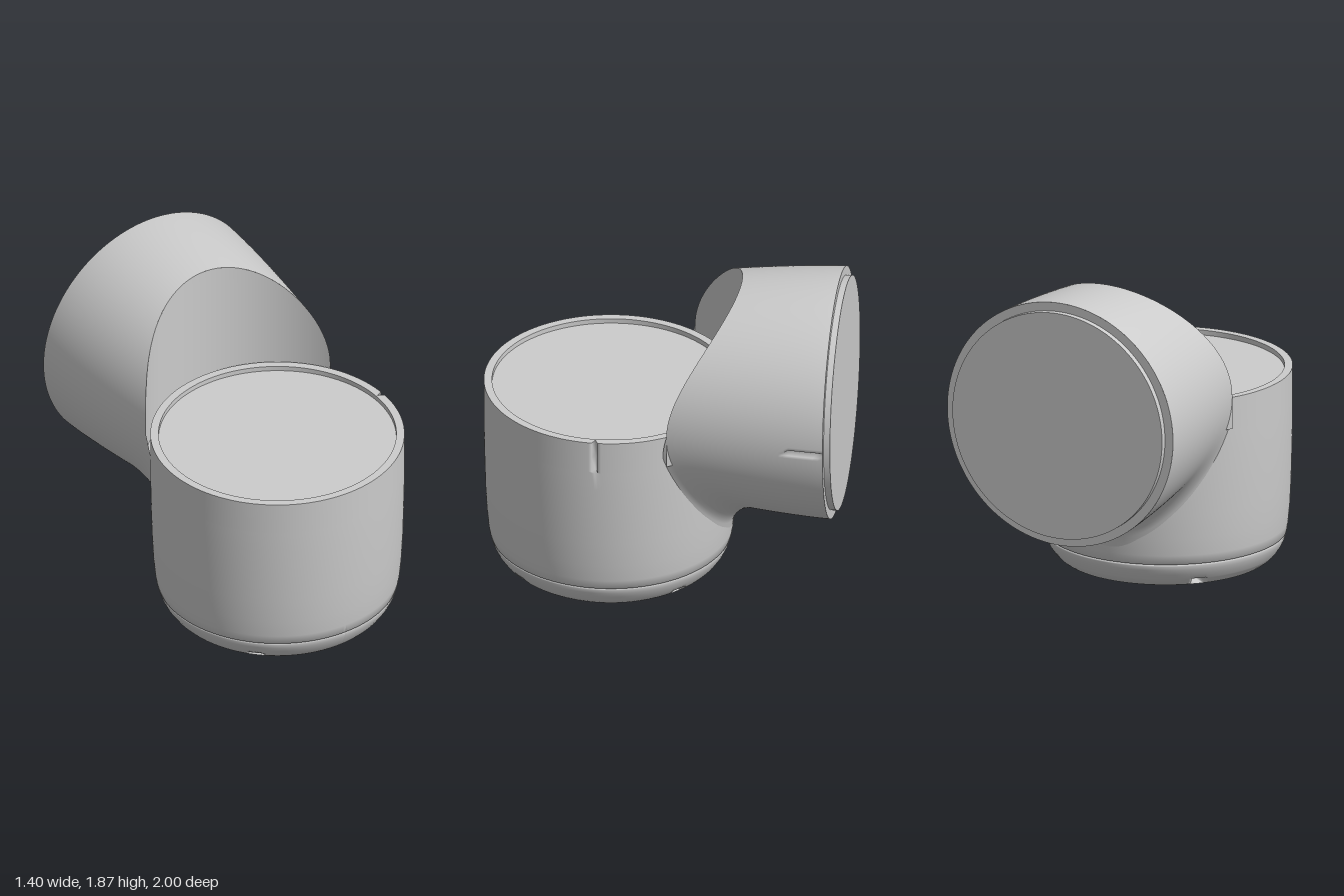
import * as THREE from 'three';
import { mergeVertices } from 'three/addons/utils/BufferGeometryUtils.js';

const CUP_Z = 0.3;        // axis of the upright cup
const BARREL_Y = 1.165;   // axis of the horizontal barrel
const BACK_Z = -0.965;    // rear rim of the barrel
const SEG = 256;

const material = new THREE.MeshStandardMaterial({ color: 0xcccccc, side: THREE.DoubleSide });

function addMesh(group, name, geometry) {
  const mesh = new THREE.Mesh(geometry, material);
  mesh.name = name;
  group.add(mesh);
  return mesh;
}

// Smooth surface from a rule fn(u, v) -> [x, y, z]
function grid(nu, nv, fn) {
  const pos = [], idx = [];
  for (let j = 0; j <= nv; j++)
    for (let i = 0; i <= nu; i++) pos.push(...fn(i / nu, j / nv));
  for (let j = 0; j < nv; j++)
    for (let i = 0; i < nu; i++) {
      const a = j * (nu + 1) + i, b = a + 1, c = a + nu + 1, d = c + 1;
      idx.push(a, b, c, b, d, c);
    }
  let geo = new THREE.BufferGeometry();
  geo.setAttribute('position', new THREE.Float32BufferAttribute(pos, 3));
  geo.setIndex(idx);
  geo = mergeVertices(geo, 1e-5);
  geo.computeVertexNormals();
  return geo;
}

// Turned part whose vertices can be pushed inward: rule(angle, y, r) -> new r
function turned(profile, rule) {
  const geo = new THREE.LatheGeometry(profile.map(([r, y]) => new THREE.Vector2(r, y)), SEG);
  if (rule) {
    const p = geo.attributes.position;
    for (let i = 0; i < p.count; i++) {
      const x = p.getX(i), z = p.getZ(i), r = Math.hypot(x, z);
      if (r < 1e-4) continue;
      const k = rule(Math.atan2(x, z), p.getY(i), r) / r;
      p.setX(i, x * k);
      p.setZ(i, z * k);
    }
    geo.computeVertexNormals();
  }
  return geo;
}

// Barrel radius shrinks gently towards the cup
const barrelRadius = z => 0.70 - 0.085 * Math.pow(Math.max(0, (z - BACK_Z) / 0.865), 1.4);

// z where the barrel at angle a meets the upright cylinder around the cup
function barrelEnd(a) {
  const s = Math.sin(a);
  const R = s >= 0 ? 0.725 : 0.725 - 0.035 * Math.min(1, -s / 0.3) - 0.02 * s * s;
  let z = -0.2;
  for (let i = 0; i < 40; i++) {
    const x = barrelRadius(z) * Math.cos(a);
    z = 0.5 * z + 0.5 * (CUP_Z - Math.sqrt(Math.max(0.01, R * R - x * x)));
  }
  return z;
}

function barrelPoint(a, v) {
  const end = barrelEnd(a), z = BACK_Z + (end - BACK_Z) * v;
  const r = barrelRadius(z), s = Math.sin(a);
  let x = r * Math.cos(a), y = BARREL_Y + r * s;
  // fillet sweeping down into the cup
  const u = THREE.MathUtils.clamp(1 - (end - z) / 0.25, 0, 1);
  if (s < 0) y -= 0.27 * s * s * (1 - Math.sqrt(1 - u * u));
  // short slit on the left side
  if (Math.abs(s) < 0.01 && x > 0 && z > -0.94 && z < -0.77) x -= 0.03;
  return [x, y, z];
}

export function createModel() {
  const model = new THREE.Group();

  // Upright cup
  const cup = new THREE.Group();
  cup.name = 'cup';
  cup.position.z = CUP_Z;
  model.add(cup);
  const notch = (a, y, r) =>
    Math.abs(a - Math.PI / 2) < 0.01 && y > 0.965 && r > 0.68 ? 0.665 : r;
  addMesh(cup, 'cupWall', turned([
    [0.645, 0.205], [0.668, 0.207], [0.676, 0.26], [0.685, 0.36], [0.692, 0.5],
    [0.697, 0.68], [0.70, 0.85], [0.70, 0.96], [0.70, 0.97], [0.70, 1.06], [0.70, 1.153],
  ], notch));
  addMesh(cup, 'cupRim', turned([[0.70, 1.153], [0.655, 1.153]], notch));
  addMesh(cup, 'cupRimInside', turned([[0.655, 1.153], [0.655, 1.12]]));
  addMesh(cup, 'cupDisc', turned([[0.655, 1.125], [0.4, 1.125], [0, 1.125]]));

  // Rounded base with four small pockets on the diagonals
  const pockets = (a, y, r) => {
    const off = Math.abs(Math.abs(Math.abs(a) - Math.PI / 2) - Math.PI / 4);
    return off < 0.05 && y > 0.066 && y < 0.106 ? r - 0.07 : r;
  };
  addMesh(cup, 'base', turned([
    [0, 0], [0.18, 0.004], [0.34, 0.016], [0.46, 0.032], [0.54, 0.05], [0.575, 0.062],
    [0.587, 0.07], [0.605, 0.085], [0.62, 0.102], [0.626, 0.11], [0.645, 0.14],
    [0.658, 0.17], [0.664, 0.193], [0.66, 0.2], [0.64, 0.201],
  ], pockets));

  // Horizontal barrel blending into the cup
  const barrel = new THREE.Group();
  barrel.name = 'barrel';
  model.add(barrel);
  addMesh(barrel, 'barrelShell', grid(SEG, 32, (u, v) => barrelPoint(u * Math.PI * 2, v)));

  // Concave front wall, coaxial with the cup
  addMesh(barrel, 'barrelFrontWall', grid(96, 6, (u, v) => {
    const [x, y, z] = barrelPoint(u * Math.PI, 1);
    return [x, THREE.MathUtils.lerp(y, 0.98, v), z];
  }));

  // Rear rim and the disc that stands out of it
  const rim = addMesh(barrel, 'barrelRim', new THREE.RingGeometry(0.64, 0.70, 128));
  rim.rotation.y = Math.PI;
  rim.position.set(0, BARREL_Y, BACK_Z);
  const disc = addMesh(barrel, 'barrelDisc', new THREE.CylinderGeometry(0.65, 0.65, 0.06, 128));
  disc.rotation.x = Math.PI / 2;
  disc.position.set(0, BARREL_Y, -0.97);

  return model;
}
